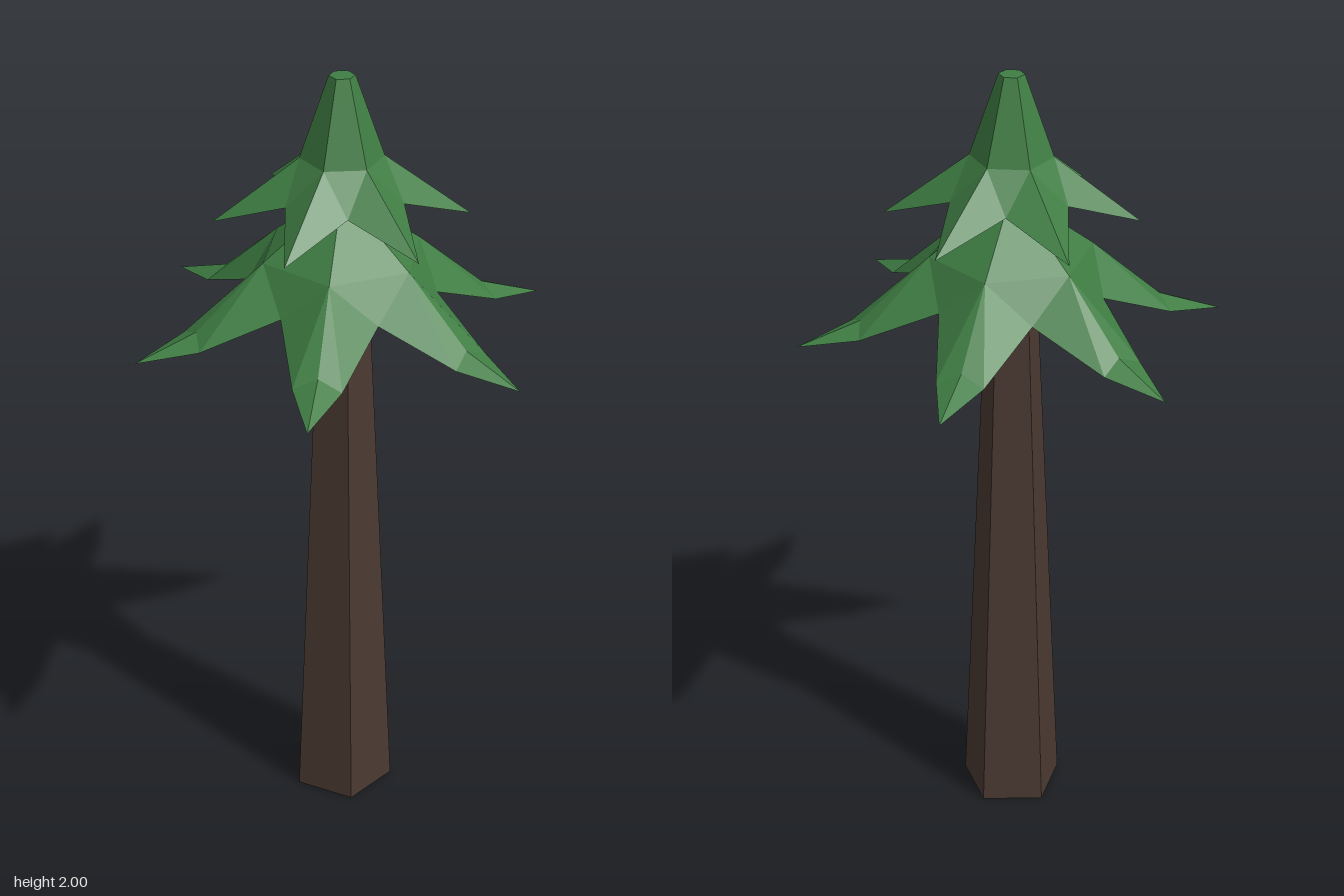
import * as THREE from 'three';

const bark = new THREE.MeshStandardMaterial({ color: 0x4a3931, flatShading: true });
const needles = new THREE.MeshStandardMaterial({ color: 0x3f7d43, flatShading: true });

// One six-pointed tier of foliage. Every profile entry is [radius, height];
// turn is the angle of the first branch in degrees.
function createTier(name, { turn, top, shoulder, valley, tip, bend, under }) {
  const pos = [];
  const at = ([r, y], deg) => {
    const a = THREE.MathUtils.degToRad(deg);
    return [r * Math.cos(a), y, r * Math.sin(a)];
  };
  const tri = (a, b, c) => pos.push(...a, ...b, ...c);

  for (let i = 0; i < 6; i++) {
    const a = turn + i * 60;
    const T0 = at(top, a), T1 = at(top, a + 60);
    const S0 = at(shoulder, a), S1 = at(shoulder, a + 60);
    const V0 = at(valley, a - 30), V1 = at(valley, a + 30);
    const P = at(tip, a);
    const centre = [0, under, 0];

    // crown, its cap and the web between two branches
    tri([0, top[1], 0], T1, T0);
    tri(S0, T0, T1);
    tri(S0, T1, S1);
    tri(S0, S1, V1);

    // branch and its underside
    if (bend) {
      const R = at(bend.ridge, a);
      const E0 = at(bend.edge, a - bend.spread), E1 = at(bend.edge, a + bend.spread);
      tri(V0, S0, E0);
      tri(E0, S0, R);
      tri(R, S0, E1);
      tri(E1, S0, V1);
      tri(E0, R, P);
      tri(P, R, E1);
      tri(V0, E0, E1);
      tri(V0, E1, V1);
      tri(E0, P, E1);
    } else {
      tri(V0, S0, P);
      tri(P, S0, V1);
      tri(V0, P, V1);
    }
    tri(V0, V1, centre);
  }

  const geometry = new THREE.BufferGeometry();
  geometry.setAttribute('position', new THREE.Float32BufferAttribute(pos, 3));
  geometry.computeVertexNormals();
  const mesh = new THREE.Mesh(geometry, needles);
  mesh.name = name;
  return mesh;
}

export function createModel() {
  const tree = new THREE.Group();
  tree.name = 'tree';

  // tapered five-sided trunk, with one corner pointing to the back
  const trunk = new THREE.Mesh(
    new THREE.CylinderGeometry(0.052, 0.132, 1.75, 5, 1, false, Math.PI), bark);
  trunk.position.y = 0.875;
  trunk.name = 'trunk';
  tree.add(trunk);

  // wide lower tier with drooping, bent branches
  tree.add(createTier('lowerFoliage', {
    turn: 13.2,
    top: [0.04, 1.68],
    shoulder: [0.2, 1.56],
    valley: [0.23, 1.465],
    tip: [0.525, 1.355],
    bend: { ridge: [0.37, 1.41], edge: [0.387, 1.385], spread: 8.6 },
    under: 1.475,
  }));

  // small upper tier with a steep crown
  tree.add(createTier('upperFoliage', {
    turn: 30,
    top: [0.031, 2],
    shoulder: [0.1, 1.8],
    valley: [0.16, 1.71],
    tip: [0.306, 1.645],
    under: 1.705,
  }));

  return tree;
}
